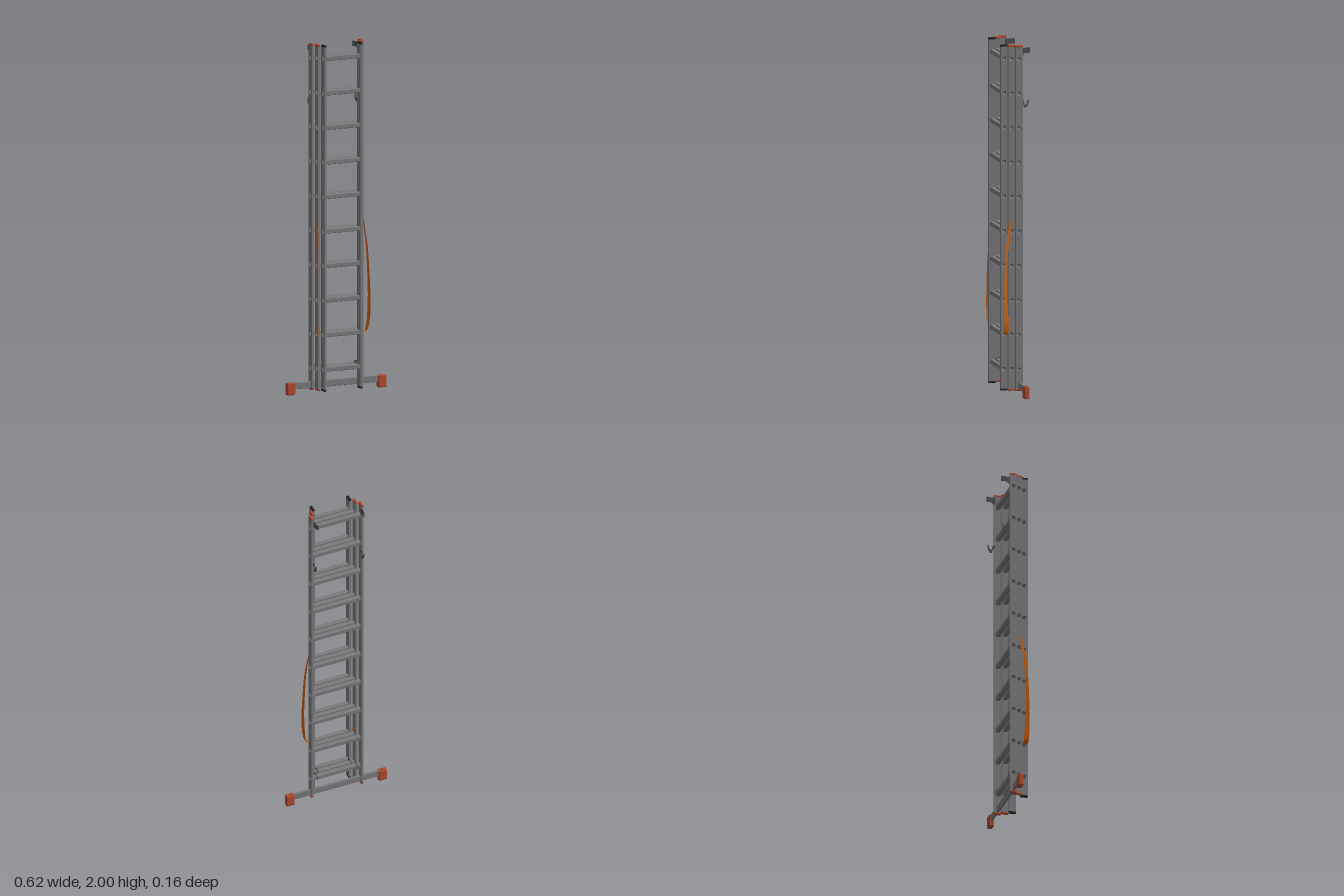
import * as THREE from 'three';
import { RoundedBoxGeometry } from 'three/addons/geometries/RoundedBoxGeometry.js';

const mat = (name, color, extra = {}) => {
  const m = new THREE.MeshStandardMaterial({ color, ...extra });
  m.name = name;
  return m;
};

const RUNG_COUNT = 10, RUNG_START = 0.145, RUNG_STEP = 0.1973;
const RAIL_WIDTH = 0.014, RAIL_DEPTH = 0.041, BOTTOM = 0.02, TOP = 2;

// Rounded rectangle centred on (cx, cy), for outlines and holes
function roundRect(path, cx, cy, w, h, r) {
  const x = cx - w / 2, y = cy - h / 2;
  path.moveTo(x + r, y);
  path.lineTo(x + w - r, y);
  path.quadraticCurveTo(x + w, y, x + w, y + r);
  path.lineTo(x + w, y + h - r);
  path.quadraticCurveTo(x + w, y + h, x + w - r, y + h);
  path.lineTo(x + r, y + h);
  path.quadraticCurveTo(x, y + h, x, y + h - r);
  path.lineTo(x, y + r);
  path.quadraticCurveTo(x, y, x + r, y);
  return path;
}

// Extrude a (-z, y) profile along x, centred on x = 0
function extrudeX(shape, length) {
  const g = new THREE.ExtrudeGeometry(shape, { depth: length, bevelEnabled: false, curveSegments: 4 });
  g.translate(0, 0, -length / 2);
  return g.rotateY(Math.PI / 2);
}

// Flat plate in the side plane from [z, y] points
function sidePlate(points, thickness) {
  return extrudeX(new THREE.Shape(points.map(([z, y]) => new THREE.Vector2(-z, y))), thickness);
}

// Ribbon swept through centres; each row is [x, y, z, half width, twist]
function strapGeometry(rows, side) {
  const path = new THREE.CatmullRomCurve3(rows.map(r => new THREE.Vector3(r[0] * side, r[1], r[2])));
  const n = 40, positions = [], index = [];
  for (let i = 0; i <= n; i++) {
    const t = i / n, p = path.getPoint(t);
    const f = Math.min(t * (rows.length - 1), rows.length - 1.001), k = Math.floor(f);
    const half = THREE.MathUtils.lerp(rows[k][3], rows[k + 1][3], f - k);
    const twist = THREE.MathUtils.lerp(rows[k][4], rows[k + 1][4], f - k);
    const dx = Math.sin(twist) * half * side, dz = Math.cos(twist) * half;
    positions.push(p.x - dx, p.y, p.z - dz, p.x + dx, p.y, p.z + dz);
    if (i < n) {
      const a = i * 2;
      index.push(a, a + 1, a + 2, a + 1, a + 3, a + 2);
    }
  }
  const g = new THREE.BufferGeometry();
  g.setAttribute('position', new THREE.Float32BufferAttribute(positions, 3));
  g.setIndex(index);
  g.computeVertexNormals();
  return g;
}

export function createModel() {
  const model = new THREE.Group();
  model.name = 'extensionLadder';
  const aluminium = mat('aluminium', 0x7b7b7d);
  const steel = mat('darkSteel', 0x505052);
  const red = mat('redPlastic', 0xb04a30);
  const black = mat('blackPlastic', 0x262626);
  const orange = mat('orangeWebbing', 0xd0620f, { side: THREE.DoubleSide });

  const add = (parent, name, geometry, material, x = 0, y = 0, z = 0) => {
    const mesh = new THREE.Mesh(geometry, material);
    mesh.name = name;
    mesh.position.set(x, y, z);
    parent.add(mesh);
    return mesh;
  };
  const rungY = i => RUNG_START + i * RUNG_STEP;

  // Stile pierced where the hollow rungs pass through
  const railShape = roundRect(new THREE.Shape(), 0, (TOP + BOTTOM) / 2, RAIL_DEPTH, TOP - BOTTOM - 0.016, 0.003);
  for (let i = 0; i < RUNG_COUNT; i++) {
    railShape.holes.push(roundRect(new THREE.Path(), 0, rungY(i), 0.025, 0.025, 0.004));
  }
  const railGeometry = extrudeX(railShape, RAIL_WIDTH);

  // Open square tube for the rungs
  const rungShape = roundRect(new THREE.Shape(), 0, 0, 0.025, 0.025, 0.004);
  rungShape.holes.push(roundRect(new THREE.Path(), 0, 0, 0.021, 0.021, 0.003));

  const capGeometry = new RoundedBoxGeometry(0.016, 0.014, 0.043, 3, 0.005);
  const guideGeometry = sidePlate([
    [-0.018, -0.008], [-0.018, 0.022], [-0.045, 0.022], [-0.06, 0.012],
    [-0.06, -0.008], [-0.056, -0.008], [-0.056, 0.01], [-0.044, 0.017], [-0.022, 0.017], [-0.022, -0.008],
  ], 0.004);

  // Three nested sections, widest at the back
  const sections = [
    { name: 'rearSection', x: 0.154, z: -0.016, cap: red },
    { name: 'middleSection', x: 0.134, z: 0.022, cap: red },
    { name: 'frontSection', x: 0.113, z: 0.059, cap: black },
  ];
  sections.forEach((s, n) => {
    const group = new THREE.Group();
    group.name = s.name;
    group.position.z = s.z;
    model.add(group);
    for (const side of [-1, 1]) {
      add(group, 'rail', railGeometry, aluminium, side * s.x);
      add(group, 'topCap', capGeometry, s.cap, side * s.x, TOP - 0.007);
      add(group, 'bottomCap', capGeometry, s.cap, side * s.x, BOTTOM + 0.007);
      // Hooks that guide a section along the one behind it
      if (n > 0) add(group, 'guideHook', guideGeometry, steel, side * (s.x - 0.01), RUNG_START);
    }
    const rungGeometry = extrudeX(rungShape, 2 * s.x + RAIL_WIDTH);
    for (let i = 0; i < RUNG_COUNT; i++) add(group, 'rung', rungGeometry, aluminium, 0, rungY(i));
  });

  // Stabiliser bar with rubber feet
  const base = new THREE.Group();
  base.name = 'stabiliser';
  base.position.z = -0.016;
  model.add(base);
  add(base, 'crossBar', new RoundedBoxGeometry(0.6, 0.038, 0.014, 2, 0.003), aluminium, 0, 0.05);
  const footGeometry = new RoundedBoxGeometry(0.05, 0.07, 0.03, 3, 0.006);
  const screwGeometry = new THREE.CylinderGeometry(0.004, 0.004, 0.002, 12);
  for (const side of [-1, 1]) {
    add(base, 'foot', footGeometry, red, side * 0.285, 0.035);
    add(base, 'footScrew', screwGeometry, steel, side * 0.285, 0.0705);
  }

  // Brackets and catches behind the rear section, and the side straps
  const bracketGeometry = sidePlate([
    [-0.03, 1.938], [-0.03, 1.98], [-0.08, 1.98], [-0.08, 1.95], [-0.05, 1.95], [-0.045, 1.938],
  ], 0.003);
  const catchGeometry = sidePlate([
    [-0.034, 1.665], [-0.034, 1.682], [-0.044, 1.682], [-0.048, 1.662], [-0.055, 1.652], [-0.066, 1.662],
    [-0.07, 1.682], [-0.076, 1.682], [-0.072, 1.655], [-0.06, 1.638], [-0.05, 1.638], [-0.044, 1.665],
  ], 0.006);
  const strapRows = [
    [0.146, 1.0, 0.024, 0.005, 0],
    [0.15, 0.94, 0.038, 0.007, 0],
    [0.157, 0.84, 0.054, 0.008, 0.2],
    [0.163, 0.7, 0.062, 0.009, 0.3],
    [0.168, 0.55, 0.064, 0.01, 0.4],
    [0.167, 0.45, 0.062, 0.013, 0.3],
    [0.16, 0.38, 0.06, 0.015, 0.1],
    [0.148, 0.348, 0.06, 0.014, 0],
    [0.124, 0.345, 0.058, 0.012, 0],
  ];
  for (const side of [-1, 1]) {
    add(model, 'topBracket', bracketGeometry, steel, side * 0.146);
    add(model, 'bracketLip', new THREE.BoxGeometry(0.012, 0.03, 0.003), steel, side * 0.14, 1.965, -0.081);
    add(model, 'catch', catchGeometry, steel, side * 0.147);
    add(model, 'strap', strapGeometry(strapRows, side), orange);
  }
  return model;
}
